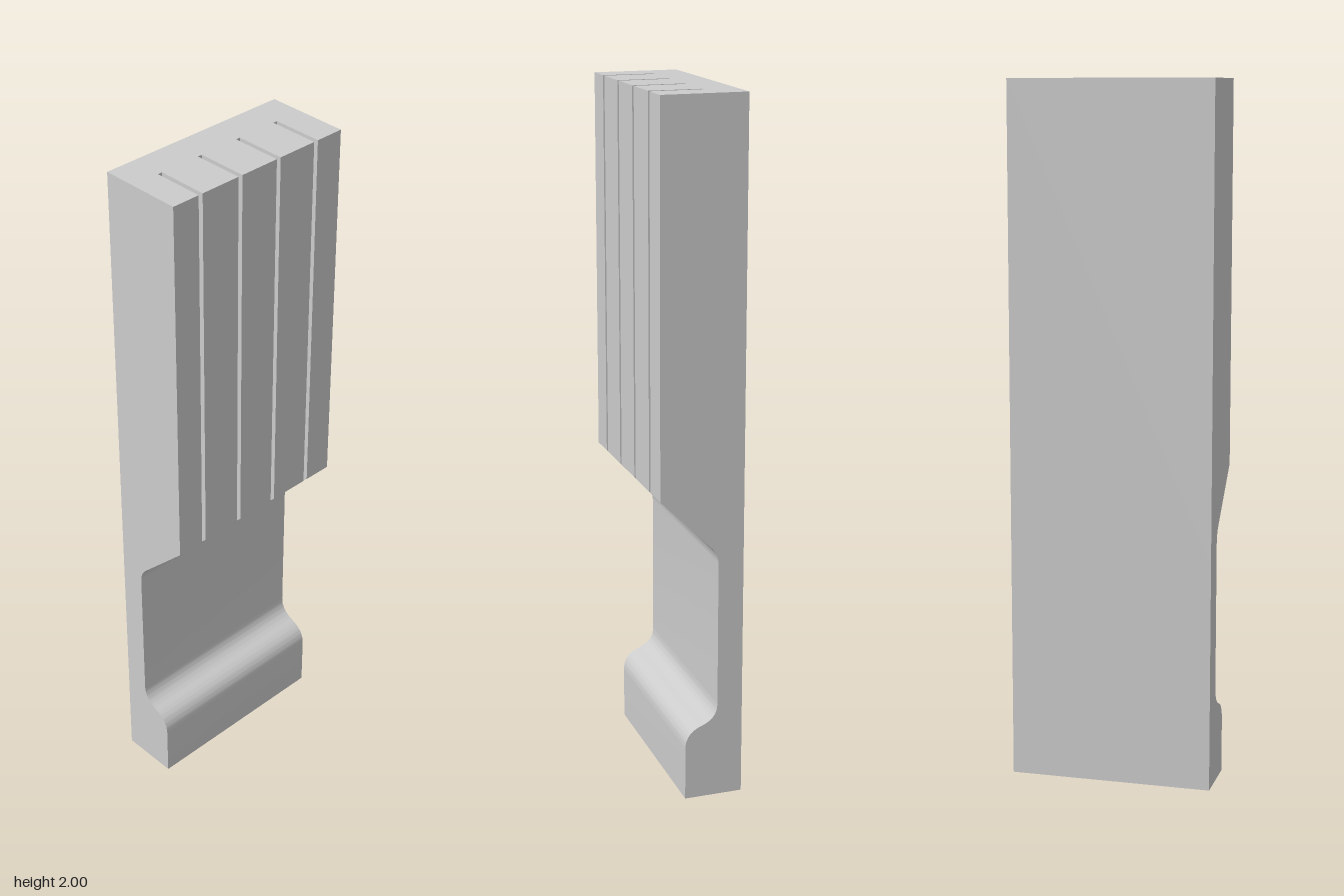
import * as THREE from 'three';
import { toCreasedNormals } from 'three/addons/utils/BufferGeometryUtils.js';

const HALF_W = 0.293, BACK = -0.122, FRONT = 0.122, HEIGHT = 2;
const NECK = -0.048, FOOT = 0.048;      // z of the recess and of the foot's front
const SLOT_Z = -0.026, SLOT_W = 0.0135; // slot depth and width
const SLOTS = [-0.2025, -0.0675, 0.0665, 0.201];
const slopeY = (z) => 0.783 + z;        // 45 degree underside of the upper block

const material = new THREE.MeshStandardMaterial({ color: 0xcccccc });

function part(name, geometry) {
  const mesh = new THREE.Mesh(geometry, material);
  mesh.name = name;
  return mesh;
}

// Comb-shaped plan extruded upward, its lower end cut along the slope
function slottedBlock() {
  const plan = new THREE.Shape();
  plan.moveTo(-HALF_W, -FRONT);
  for (const x of SLOTS) {
    plan.lineTo(x - SLOT_W / 2, -FRONT);
    plan.lineTo(x - SLOT_W / 2, -SLOT_Z);
    plan.lineTo(x + SLOT_W / 2, -SLOT_Z);
    plan.lineTo(x + SLOT_W / 2, -FRONT);
  }
  plan.lineTo(HALF_W, -FRONT);
  plan.lineTo(HALF_W, -BACK);
  plan.lineTo(-HALF_W, -BACK);
  plan.closePath();
  const geo = new THREE.ExtrudeGeometry(plan, { depth: HEIGHT, bevelEnabled: false });
  geo.rotateX(-Math.PI / 2);
  const p = geo.attributes.position;
  for (let i = 0; i < p.count; i++) {
    if (p.getY(i) < 1) p.setY(i, slopeY(p.getZ(i)));
  }
  geo.computeVertexNormals();
  return geo;
}

// Side profile of the neck and foot, extruded across the width
function neckAndFoot() {
  const side = new THREE.Shape();
  side.moveTo(BACK, 0);
  side.lineTo(FOOT, 0);
  side.lineTo(FOOT, 0.155);
  side.bezierCurveTo(FOOT, 0.19, 0.03, 0.21, 0, 0.221);
  side.bezierCurveTo(-0.03, 0.232, NECK, 0.25, NECK, 0.285);
  side.lineTo(NECK, 0.705);
  side.quadraticCurveTo(NECK, slopeY(NECK), SLOT_Z, slopeY(SLOT_Z));
  side.lineTo(BACK, slopeY(BACK));
  side.closePath();
  const geo = new THREE.ExtrudeGeometry(side, { depth: 2 * HALF_W, bevelEnabled: false, curveSegments: 14 });
  geo.rotateY(-Math.PI / 2);
  geo.translate(HALF_W, 0, 0);
  return toCreasedNormals(geo, 0.5);
}

export function createModel() {
  const model = new THREE.Group();
  model.name = 'slottedBar';
  model.add(part('slottedBlock', slottedBlock()), part('neckAndFoot', neckAndFoot()));
  return model;
}
